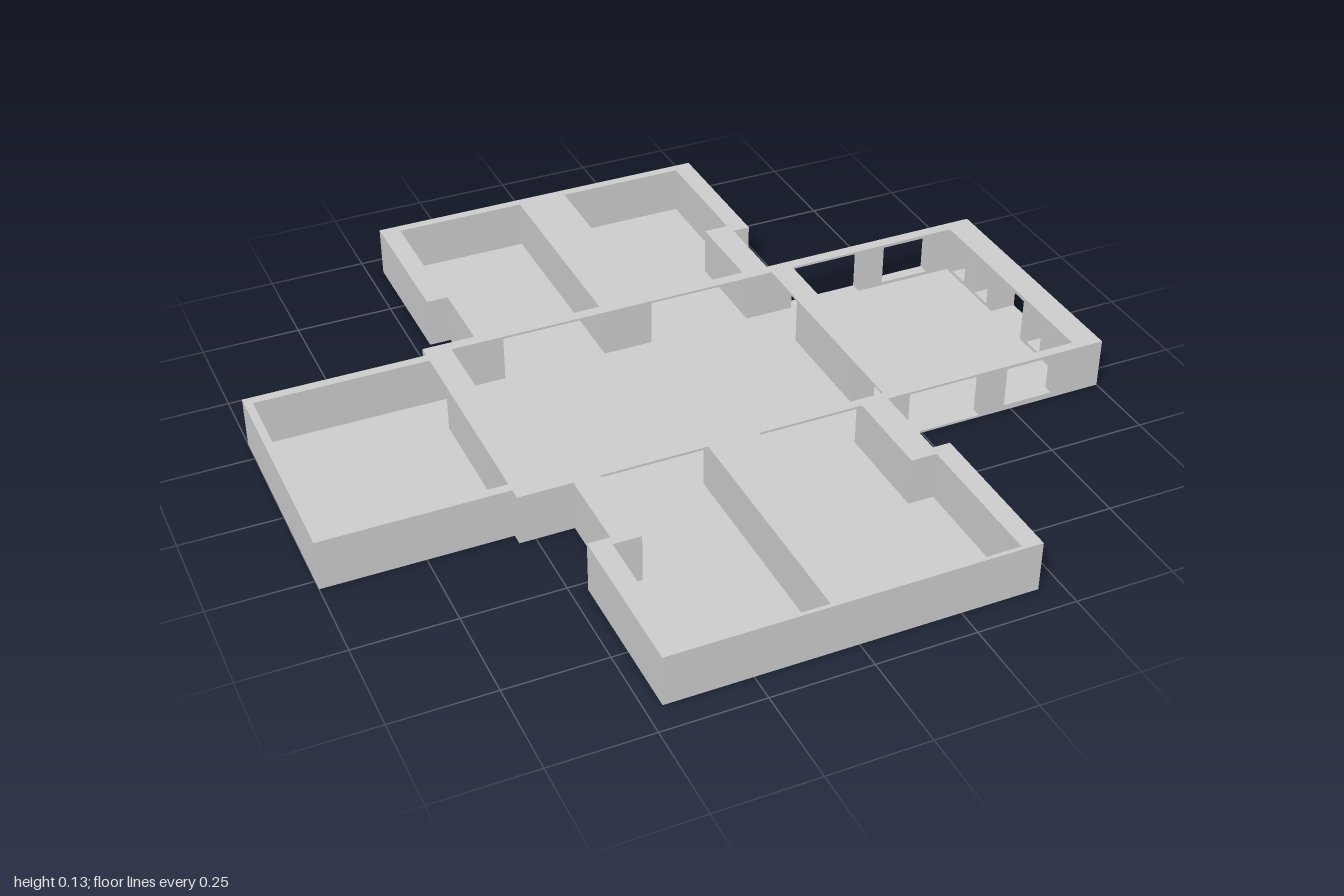
import * as THREE from 'three';

const H = 0.13;      // wall height
const F = 0.006;     // floor thickness
const LINTEL = 0.124; // underside of door lintels

export function createModel() {
  const model = new THREE.Group();
  const mat = new THREE.MeshStandardMaterial({ color: 0xcccccc });

  const box = (parent, x0, x1, z0, z1, y0 = F, y1 = H) => {
    const m = new THREE.Mesh(new THREE.BoxGeometry(x1 - x0, y1 - y0, z1 - z0), mat);
    m.position.set((x0 + x1) / 2, (y0 + y1) / 2, (z0 + z1) / 2);
    parent.add(m);
    return m;
  };
  const group = (name) => {
    const g = new THREE.Group();
    g.name = name;
    model.add(g);
    return g;
  };

  // Straight wall along x or z, with openings [start, end, bottom, top]
  const wall = (parent, name, axis, a, b, c0, c1, openings = []) => {
    const g = new THREE.Group();
    g.name = name;
    parent.add(g);
    const piece = (s, e, y0, y1) => {
      if (e - s < 1e-4 || y1 - y0 < 1e-4) return;
      if (axis === 'x') box(g, s, e, c0, c1, y0, y1);
      else box(g, c0, c1, s, e, y0, y1);
    };
    let from = a;
    for (const [s, e, y0, y1] of openings) {
      piece(from, s, F, H);
      piece(s, e, F, y0);
      piece(s, e, y1, H);
      from = e;
    }
    piece(from, b, F, H);
  };

  // Cross-shaped floor slab
  const outline = [
    [-0.46, -0.935], [0.445, -0.935], [0.445, -0.545], [0.4, -0.545], [0.4, -0.345],
    [1, -0.345], [1, 0.31], [0.4, 0.31], [0.4, 0.525], [0.445, 0.525], [0.445, 0.93],
    [-0.46, 0.93], [-0.46, 0.525], [-0.405, 0.525], [-0.405, 0.31], [-0.54, 0.31],
    [-0.54, 0.28], [-1, 0.28], [-1, -0.315], [-0.54, -0.315], [-0.54, -0.345],
    [-0.405, -0.345], [-0.405, -0.545], [-0.46, -0.545],
  ].map(([x, z]) => new THREE.Vector2(x, -z));
  const floorGeo = new THREE.ExtrudeGeometry(new THREE.Shape(outline), { depth: F, bevelEnabled: false });
  floorGeo.rotateX(-Math.PI / 2);
  const floor = new THREE.Mesh(floorGeo, mat);
  floor.name = 'floor';
  model.add(floor);

  // Central hall: wide doorways to the front and back rooms, two to each side room
  const hall = group('hallWalls');
  const wideDoors = [[-0.34, -0.07, F, LINTEL], [0.06, 0.33, F, LINTEL]];
  const sideDoors = [[-0.315, -0.17, F, LINTEL], [0.14, 0.285, F, LINTEL]];
  const endDoors = [[-0.29, -0.17, F, LINTEL], [0.14, 0.255, F, LINTEL]];
  wall(hall, 'hallBackWall', 'x', -0.54, 0.46, -0.345, -0.315, wideDoors);
  wall(hall, 'hallFrontWall', 'x', -0.54, 0.46, 0.285, 0.31, wideDoors);
  wall(hall, 'hallLeftWall', 'z', -0.315, 0.285, 0.4, 0.46, sideDoors);
  wall(hall, 'hallRightWall', 'z', -0.315, 0.285, -0.54, -0.475, endDoors);

  // Front and back wings, each a pair of rooms with a stepped neck
  const wings = [
    { name: 'backWing', s: -1, near: 0.345, step: 0.545, notch: 0.575, inner: 0.91, outer: 0.935 },
    { name: 'frontWing', s: 1, near: 0.31, step: 0.525, notch: 0.55, inner: 0.92, outer: 0.93 },
  ];
  for (const { name, s, near, step, notch, inner, outer } of wings) {
    const wing = group(name);
    const span = (x0, x1, za, zb, part) => {
      box(wing, x0, x1, Math.min(s * za, s * zb), Math.max(s * za, s * zb)).name = part;
    };
    span(-0.46, 0.445, inner, outer, 'endWall');
    span(-0.07, 0.06, near, inner, 'divider');
    span(-0.405, -0.34, near, step, 'rightNeckWall');
    span(0.33, 0.4, near, step, 'leftNeckWall');
    span(-0.46, -0.34, step, notch, 'rightShoulder');
    span(0.33, 0.445, step, notch, 'leftShoulder');
    span(-0.46, -0.41, notch, inner, 'rightOuterWall');
    span(0.395, 0.445, notch, inner, 'leftOuterWall');
  }

  // Closed room on the model's right
  const closed = group('rightRoom');
  wall(closed, 'rightRoomEndWall', 'z', -0.315, 0.28, -1, -0.98);
  wall(closed, 'rightRoomBackWall', 'x', -0.98, -0.54, -0.315, -0.29);
  wall(closed, 'rightRoomFrontWall', 'x', -0.98, -0.54, 0.255, 0.28);

  // Entrance room on the model's left, with a door and windows
  const entrance = group('entranceRoom');
  const sideOpenings = [[0.46, 0.66, F, LINTEL], [0.73, 0.865, 0.015, 0.122]];
  wall(entrance, 'entranceBackWall', 'x', 0.46, 1, -0.345, -0.315, sideOpenings);
  wall(entrance, 'entranceFrontWall', 'x', 0.46, 1, 0.285, 0.31, sideOpenings);
  wall(entrance, 'entranceEndWall', 'z', -0.315, 0.285, 0.93, 1, [
    [-0.285, -0.225, 0.015, 0.12],
    [-0.17, -0.11, 0.015, 0.12],
    [-0.085, 0.06, F, 0.12],
    [0.09, 0.15, 0.015, 0.12],
    [0.205, 0.265, 0.015, 0.12],
  ]);

  return model;
}
